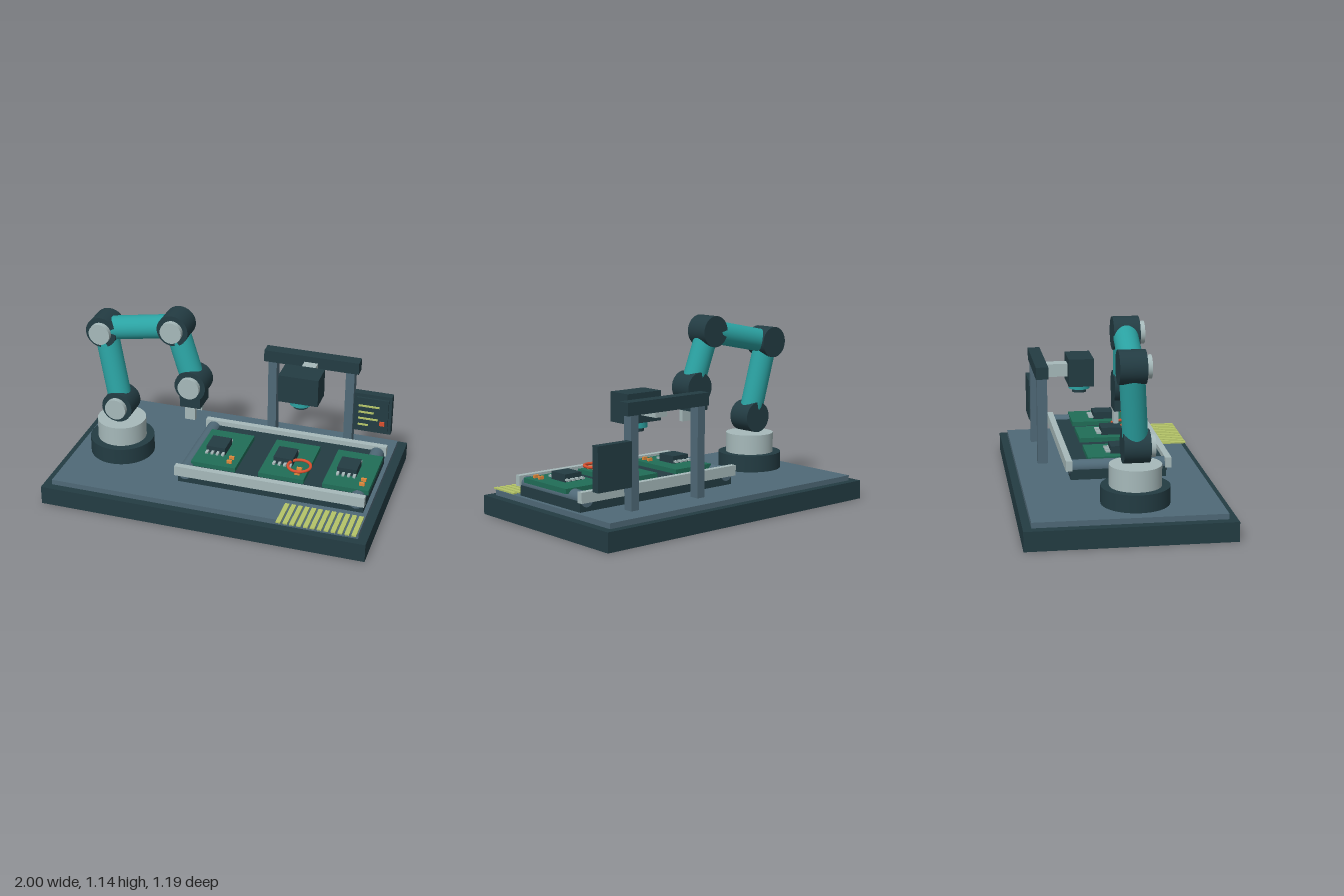
import * as THREE from 'three';

const mat = (name, color) => Object.assign(new THREE.MeshStandardMaterial({ color }), { name });

export function createModel() {
  const dark = mat('dark slate', 0x233c43);
  const blue = mat('blue grey', 0x4f6977);
  const light = mat('light grey', 0xa6b9ba);
  const teal = mat('teal', 0x2ba3a3);
  const green = mat('board green', 0x206d57);
  const yellow = mat('pale yellow', 0xb4c468);
  const red = mat('red', 0xd9502f);
  const orange = mat('orange', 0xe08a3c);

  const model = new THREE.Group();
  model.name = 'roboticAssemblyCell';
  const group = (name, parent = model) => {
    const g = new THREE.Group();
    g.name = name;
    parent.add(g);
    return g;
  };
  const add = (parent, name, geo, material) => {
    const m = new THREE.Mesh(geo, material);
    m.name = name;
    parent.add(m);
    return m;
  };
  // box given by its limits on each axis
  const box = (parent, name, material, x0, x1, y0, y1, z0, z1) => {
    const m = add(parent, name, new THREE.BoxGeometry(x1 - x0, y1 - y0, z1 - z0), material);
    m.position.set((x0 + x1) / 2, (y0 + y1) / 2, (z0 + z1) / 2);
    return m;
  };
  // cylinder running between two points
  const rod = (parent, name, material, a, b, r, sides = 32) => {
    const d = b.clone().sub(a);
    const m = add(parent, name, new THREE.CylinderGeometry(r, r, d.length(), sides), material);
    m.position.copy(a).add(b).multiplyScalar(0.5);
    m.quaternion.setFromUnitVectors(new THREE.Vector3(0, 1, 0), d.normalize());
    return m;
  };
  const v = (x, y, z) => new THREE.Vector3(x, y, z);

  // Stepped base
  box(model, 'base', dark, -1, 1, 0, 0.115, -0.595, 0.595);
  box(model, 'worktop', blue, -0.947, 0.947, 0.115, 0.147, -0.547, 0.547);

  // Robot arm
  const robot = group('robotArm');
  rod(robot, 'robotFoot', dark, v(-0.675, 0.147, 0.065), v(-0.675, 0.25, 0.065), 0.198, 40);
  rod(robot, 'turntable', light, v(-0.675, 0.25, 0.065), v(-0.675, 0.373, 0.065), 0.15, 40);
  const joints = [v(-0.675, 0.476, 0.065), v(-0.774, 0.952, 0.025), v(-0.306, 1.047, 0.06), v(-0.194, 0.706, 0.081)];
  joints.forEach((p, i) => {
    rod(robot, 'joint', dark, v(p.x, p.y, p.z - 0.076), v(p.x, p.y, p.z + 0.076), 0.096);
    rod(robot, 'jointCap', light, v(p.x, p.y, p.z + 0.076), v(p.x, p.y, p.z + 0.107), 0.066);
    if (i) rod(robot, 'armLink', teal, joints[i - 1], p, 0.072);
  });
  box(robot, 'wrist', dark, -0.258, -0.129, 0.567, 0.66, 0.005, 0.157);
  for (const z of [0.005, 0.13]) box(robot, 'gripperFinger', light, -0.226, -0.162, 0.488, 0.567, z, z + 0.029);

  // Conveyor
  const conveyor = group('conveyor');
  box(conveyor, 'conveyorBed', dark, -0.218, 0.922, 0.147, 0.209, -0.25, 0.325);
  box(conveyor, 'belt', dark, -0.15, 0.85, 0.2, 0.236, -0.25, 0.325);
  for (const z of [-0.279, 0.317]) box(conveyor, 'sideRail', light, -0.23, 0.932, 0.203, 0.266, z, z + 0.038);
  for (const x of [-0.175, 0.877]) rod(conveyor, 'roller', blue, v(x, 0.216, -0.257), v(x, 0.216, 0.332), 0.043, 24);

  // Circuit boards with chip, pins and small components
  for (const x of [-0.016, 0.406, 0.797]) {
    const board = group('circuitBoard', conveyor);
    board.position.x = x;
    box(board, 'board', green, -0.139, 0.139, 0.235, 0.264, -0.138, 0.267);
    box(board, 'chip', dark, -0.082, 0.037, 0.264, 0.31, 0.007, 0.138);
    for (let i = 0; i < 4; i++) {
      const px = -0.073 + i * 0.0335;
      for (const z of [-0.023, 0.138]) box(board, 'chipPin', light, px - 0.008, px + 0.008, 0.272, 0.284, z, z + 0.03);
    }
    for (const z of [0.168, 0.217]) {
      box(board, 'component', orange, 0.072, 0.104, 0.264, 0.282, z - 0.008, z + 0.008);
    }
  }

  // Inspection ring lying over the middle board
  const ring = add(model, 'targetRing', new THREE.TorusGeometry(0.068, 0.009, 10, 32), red);
  ring.rotation.x = Math.PI / 2;
  ring.position.set(0.492, 0.293, 0.165);

  // Camera gantry
  const gantry = group('cameraGantry');
  for (const x of [0.144, 0.636]) box(gantry, 'post', blue, x, x + 0.054, 0.147, 0.69, -0.412, -0.35);
  box(gantry, 'beam', dark, 0.118, 0.716, 0.684, 0.759, -0.42, -0.344);
  box(gantry, 'cameraBracket', light, 0.375, 0.46, 0.639, 0.72, -0.35, -0.19);
  box(gantry, 'cameraBody', dark, 0.294, 0.54, 0.589, 0.764, -0.2, -0.043);
  rod(gantry, 'lensBarrel', teal, v(0.417, 0.555, -0.122), v(0.417, 0.59, -0.122), 0.067);
  rod(gantry, 'lens', dark, v(0.417, 0.532, -0.122), v(0.417, 0.556, -0.122), 0.045);

  // Monitor with readout lines and status light
  const monitor = group('monitor');
  box(monitor, 'monitorCase', dark, 0.69, 0.927, 0.285, 0.544, -0.42, -0.372);
  box(monitor, 'screen', dark, 0.708, 0.909, 0.31, 0.522, -0.372, -0.358);
  [0.13, 0.096, 0.124, 0.064].forEach((w, i) => {
    const y = 0.47 - i * 0.0435;
    box(monitor, 'readoutLine', yellow, 0.724, 0.724 + w, y - 0.005, y + 0.005, -0.358, -0.35);
  });
  box(monitor, 'statusLight', red, 0.859, 0.89, 0.348, 0.375, -0.358, -0.349);

  // Row of contact strips along the front edge
  for (let i = 0; i < 12; i++) {
    const x = 0.467 + i * 0.0405;
    box(model, 'contactStrip', yellow, x, x + 0.027, 0.147, 0.156, 0.374, 0.578);
  }
  return model;
}
